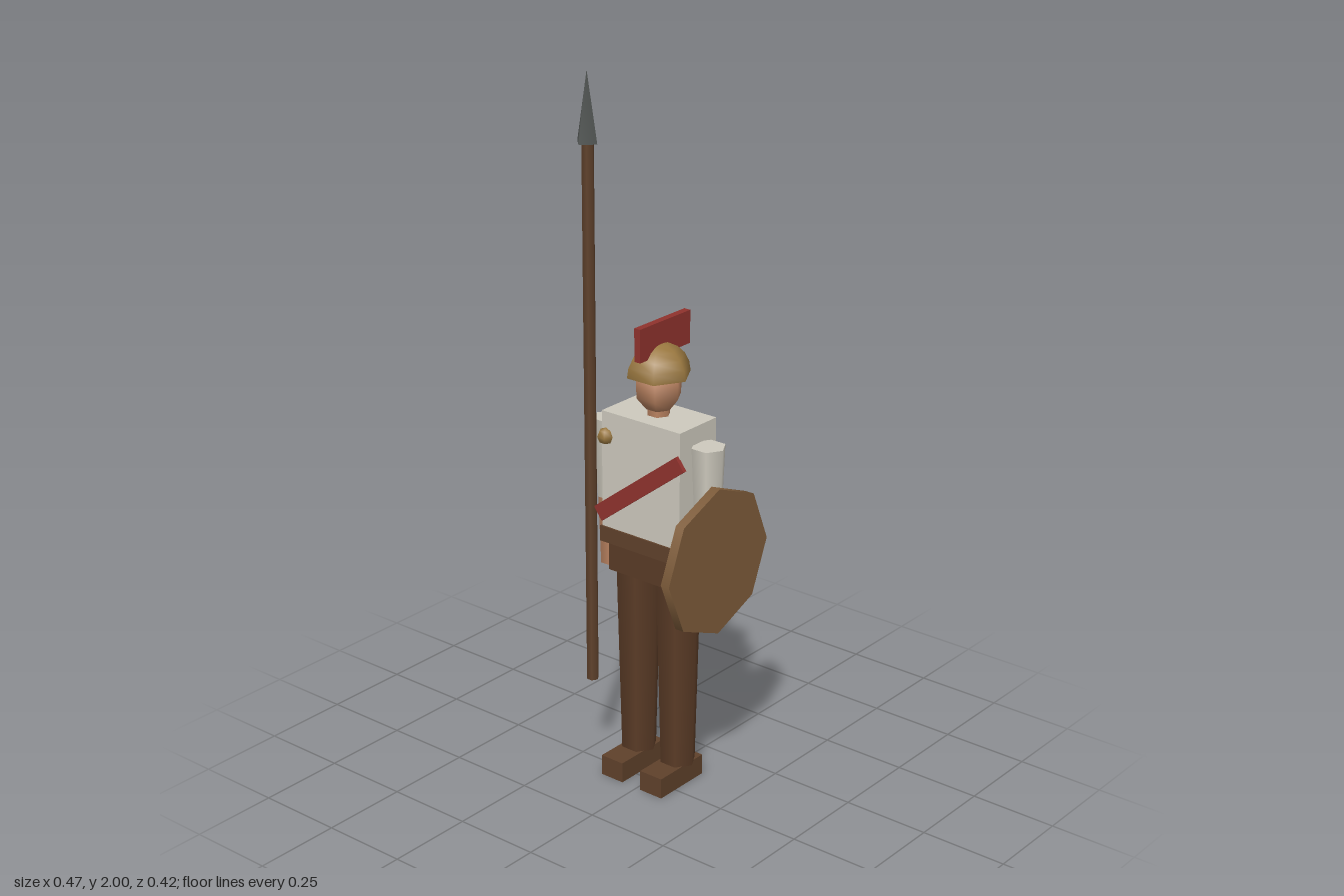
import * as THREE from 'three';

const mat = (name, color) => {
  const m = new THREE.MeshStandardMaterial({ color });
  m.name = name;
  return m;
};

export function createModel() {
  const group = new THREE.Group();
  group.name = 'spearman';
  const cloth = mat('offWhiteCloth', 0xcdc9bd);
  const skin = mat('skin', 0xb98260);
  const trousers = mat('darkBrownCloth', 0x5a3b26);
  const leather = mat('brownLeather', 0x5f412b);
  const wood = mat('shieldWood', 0x7f5d3b);
  const red = mat('red', 0x8f322d);
  const brass = mat('brass', 0x9a7840);
  brass.side = THREE.DoubleSide;
  const steel = mat('steel', 0x565a58);

  const CX = -0.018, CZ = -0.057; // body axis

  const add = (name, geo, material, x, y, z) => {
    const mesh = new THREE.Mesh(geo, material);
    mesh.name = name;
    mesh.position.set(x, y, z);
    group.add(mesh);
    return mesh;
  };
  const box = (name, m, w, h, d, x, y, z) => add(name, new THREE.BoxGeometry(w, h, d), m, x, y, z);
  // six-sided tapered limb between two heights, corners pointing sideways
  const limb = (name, m, rTop, rBottom, y0, y1, x, z) => {
    const geo = new THREE.CylinderGeometry(rTop, rBottom, y1 - y0, 6);
    geo.rotateY(Math.PI / 6);
    return add(name, geo, m, x, (y0 + y1) / 2, z);
  };

  // trunk
  box('torso', cloth, 0.268, 0.34, 0.153, CX, 0.91, CZ);
  box('belt', leather, 0.278, 0.045, 0.164, CX, 0.722, CZ);
  box('hips', trousers, 0.236, 0.09, 0.14, CX, 0.66, CZ);

  // limbs on both sides
  for (const [side, s] of [['left', 1], ['right', -1]]) {
    const legX = CX + s * 0.07, armX = CX + s * 0.169;
    limb(side + 'Leg', trousers, 0.066, 0.051, 0.058, 0.665, legX, CZ);
    box(side + 'Foot', leather, 0.075, 0.06, 0.182, legX, 0.03, -0.029);
    limb(side + 'Sleeve', cloth, 0.048, 0.038, 0.8, 1.03, armX, CZ);
    limb(side + 'Forearm', skin, 0.037, 0.03, 0.6, 0.8, armX, CZ);
  }

  // head
  limb('neck', skin, 0.032, 0.032, 1.06, 1.12, CX, CZ);
  const profile = [[0, 1.085], [0.036, 1.098], [0.063, 1.132], [0.065, 1.18], [0.04, 1.22], [0, 1.23]]
    .map(([r, y]) => new THREE.Vector2(r, y));
  add('head', new THREE.LatheGeometry(profile, 6, Math.PI / 6), skin, CX, 0, CZ);

  // helmet with crest
  add('helmetDome', new THREE.SphereGeometry(0.09, 6, 5, 0, Math.PI * 2, 0, Math.PI / 2), brass, CX, 1.192, CZ);
  box('helmetCrest', red, 0.02, 0.093, 0.208, CX, 1.296, -0.072);

  // sash and brooch
  box('sash', red, 0.357, 0.045, 0.012, CX, 0.889, 0.0245).rotation.z = 0.654;
  add('brooch', new THREE.SphereGeometry(0.024, 6, 4), brass, -0.138, 1.01, 0.021);

  // spear
  limb('spearShaft', leather, 0.017, 0.017, 0.27, 1.81, -0.186, 0.0275);
  add('spearHead', new THREE.ConeGeometry(0.034, 0.19, 4), steel, -0.187, 1.905, 0.0275);

  // octagonal shield on the left arm
  const shield = new THREE.CylinderGeometry(0.209, 0.209, 0.027, 8);
  shield.rotateZ(Math.PI / 2);
  add('shield', shield, wood, 0.2205, 0.74, 0);

  return group;
}
